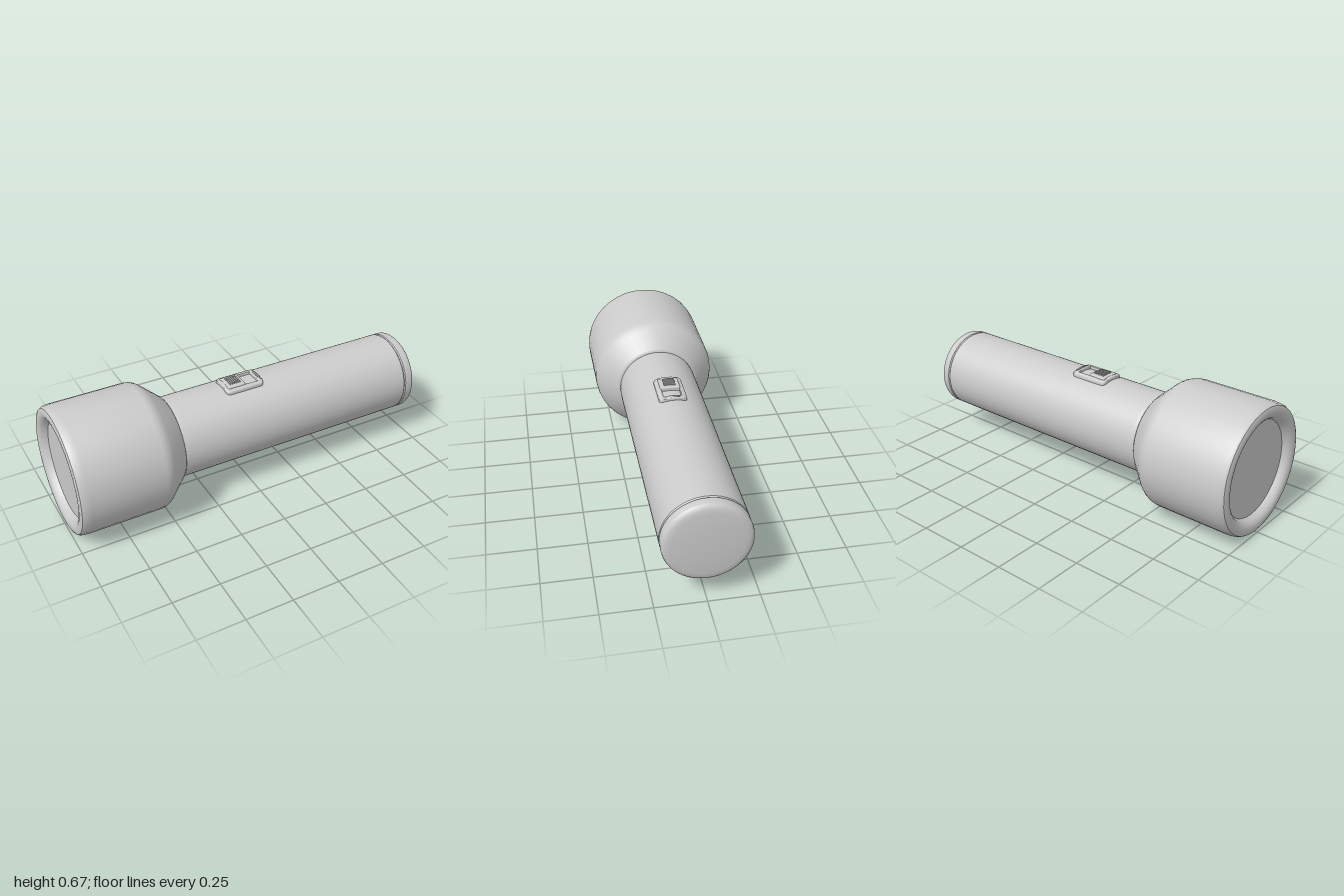
import * as THREE from 'three';
import { toCreasedNormals } from 'three/addons/utils/BufferGeometryUtils.js';
import { RoundedBoxGeometry } from 'three/addons/geometries/RoundedBoxGeometry.js';

const AXIS_Y = 0.334;
const BODY_R = 0.213;
const material = new THREE.MeshStandardMaterial({ color: 0xcccccc });

function addMesh(parent, name, geometry) {
  const mesh = new THREE.Mesh(geometry, material);
  mesh.name = name;
  parent.add(mesh);
  return mesh;
}

// Revolve [x, radius] pairs around the torch's long axis
function turned(profile, sides) {
  const points = profile.map(([x, r]) => new THREE.Vector2(r, x));
  const geometry = new THREE.LatheGeometry(points, sides);
  geometry.rotateZ(-Math.PI / 2);
  return toCreasedNormals(geometry, 0.6);
}

// Let a flat part sag across z so it follows the barrel
function wrap(geometry) {
  const p = geometry.attributes.position;
  for (let i = 0; i < p.count; i++) {
    const z = p.getZ(i);
    p.setY(i, p.getY(i) - (BODY_R - Math.sqrt(BODY_R * BODY_R - z * z)));
  }
  geometry.computeVertexNormals();
  return geometry;
}

// Rounded rectangle outline with extra points on the short sides for wrapping
function outline(w, h, r) {
  const points = [];
  const corners = [[1, 1], [-1, 1], [-1, -1], [1, -1]];
  corners.forEach(([sx, sy], c) => {
    for (let i = 0; i <= 4; i++) {
      const a = (c + i / 4) * Math.PI / 2;
      points.push(new THREE.Vector2(
        sx * (w / 2 - r) + r * Math.cos(a), sy * (h / 2 - r) + r * Math.sin(a)));
    }
    if (c % 2 === 1) {
      for (let i = 1; i < 6; i++) {
        points.push(new THREE.Vector2(sx * w / 2, sy * (h / 2 - r) * (1 - i / 3)));
      }
    }
  });
  return points;
}

export function createModel() {
  const torch = new THREE.Group();
  torch.name = 'flashlight';
  torch.position.y = AXIS_Y;

  // Head with rolled rim and tapering neck
  addMesh(torch, 'head', turned([
    [-0.95, 0.24], [-0.965, 0.25], [-0.985, 0.26], [-0.996, 0.275], [-1, 0.29],
    [-1, 0.31], [-0.995, 0.322], [-0.983, 0.329], [-0.95, 0.333], [-0.56, 0.333],
    [-0.54, 0.33], [-0.52, 0.321], [-0.5, 0.305], [-0.415, 0.228],
    [-0.407, 0.218], [-0.405, 0.2],
  ], 40));
  addMesh(torch, 'lens', turned([[-0.96, 0], [-0.96, 0.252]], 40));

  // Barrel and tail cap, separated by a fine groove
  addMesh(torch, 'barrel', turned([
    [-0.43, 0.208], [-0.4, 0.211], [-0.38, BODY_R], [0.922, BODY_R], [0.929, 0.208],
  ], 64));
  addMesh(torch, 'tailCap', turned([
    [0.927, 0.207], [0.934, BODY_R], [0.968, BODY_R], [0.978, 0.21], [0.986, 0.202],
    [0.991, 0.19], [0.994, 0.17], [0.998, 0.09], [1, 0],
  ], 64));

  // Sliding switch on top of the barrel
  const slideSwitch = new THREE.Group();
  slideSwitch.name = 'slideSwitch';
  slideSwitch.position.set(0.008, BODY_R, 0);
  torch.add(slideSwitch);

  const frameShape = new THREE.Shape(outline(0.2, 0.13, 0.014));
  frameShape.holes.push(new THREE.Path(outline(0.178, 0.108, 0.008).reverse()));
  const frame = new THREE.ExtrudeGeometry(frameShape, {
    depth: 0.018, bevelEnabled: true, bevelThickness: 0.006, bevelSize: 0.007, bevelSegments: 3,
  });
  frame.rotateX(-Math.PI / 2);
  frame.translate(0, -0.006, 0);
  addMesh(slideSwitch, 'switchFrame', toCreasedNormals(wrap(frame), 0.6));

  const slider = new RoundedBoxGeometry(0.1, 0.032, 0.105, 4, 0.007);
  slider.translate(-0.042, 0.008, 0);
  addMesh(slideSwitch, 'slider', wrap(slider));

  // Grip ridges across the slider
  for (let i = 0; i < 6; i++) {
    const ridge = new THREE.BoxGeometry(0.006, 0.006, 0.06, 1, 1, 8);
    ridge.translate(-0.069 + i * 0.011, 0.0245, 0);
    addMesh(slideSwitch, 'gripRidge', wrap(ridge));
  }
  return torch;
}
